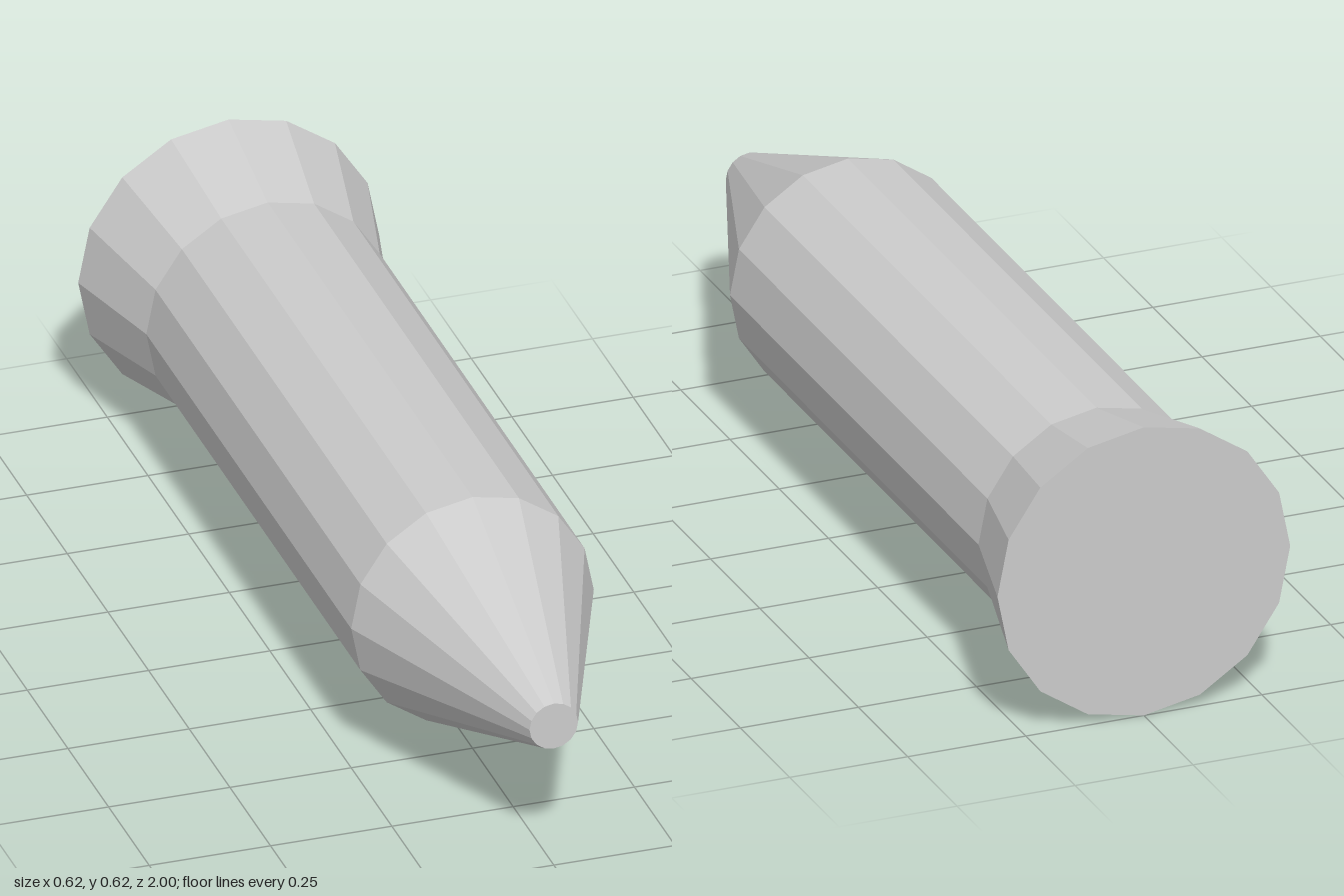
import * as THREE from 'three';

const SIDES = 16;
const AXIS_Y = 0.31; // the widest ring rests on the ground

export function createModel() {
  const group = new THREE.Group();
  group.name = 'taperedPlug';
  const material = new THREE.MeshStandardMaterial({ color: 0xcccccc, flatShading: true });

  // A faceted section lying along z, from the rear ring to the front ring
  function section(name, zRear, rRear, zFront, rFront) {
    const geometry = new THREE.CylinderGeometry(rFront, rRear, zFront - zRear, SIDES, 1, true);
    geometry.rotateX(Math.PI / 2);
    add(name, geometry, (zRear + zFront) / 2);
  }

  // A flat disc closing one end, with corners matching the sections
  function cap(name, z, radius, facing) {
    const geometry = new THREE.CircleGeometry(radius, SIDES);
    if (facing < 0) geometry.rotateY(Math.PI);
    add(name, geometry, z);
  }

  function add(name, geometry, z) {
    const mesh = new THREE.Mesh(geometry, material);
    mesh.name = name;
    mesh.position.set(0, AXIS_Y, z);
    group.add(mesh);
  }

  section('flaredBase', -1, 0.31, -0.76, 0.25);
  section('body', -0.76, 0.25, 0.5, 0.25);
  section('taperedNose', 0.5, 0.25, 1, 0.05);
  cap('baseCap', -1, 0.31, -1);
  cap('noseCap', 1, 0.05, 1);

  return group;
}
